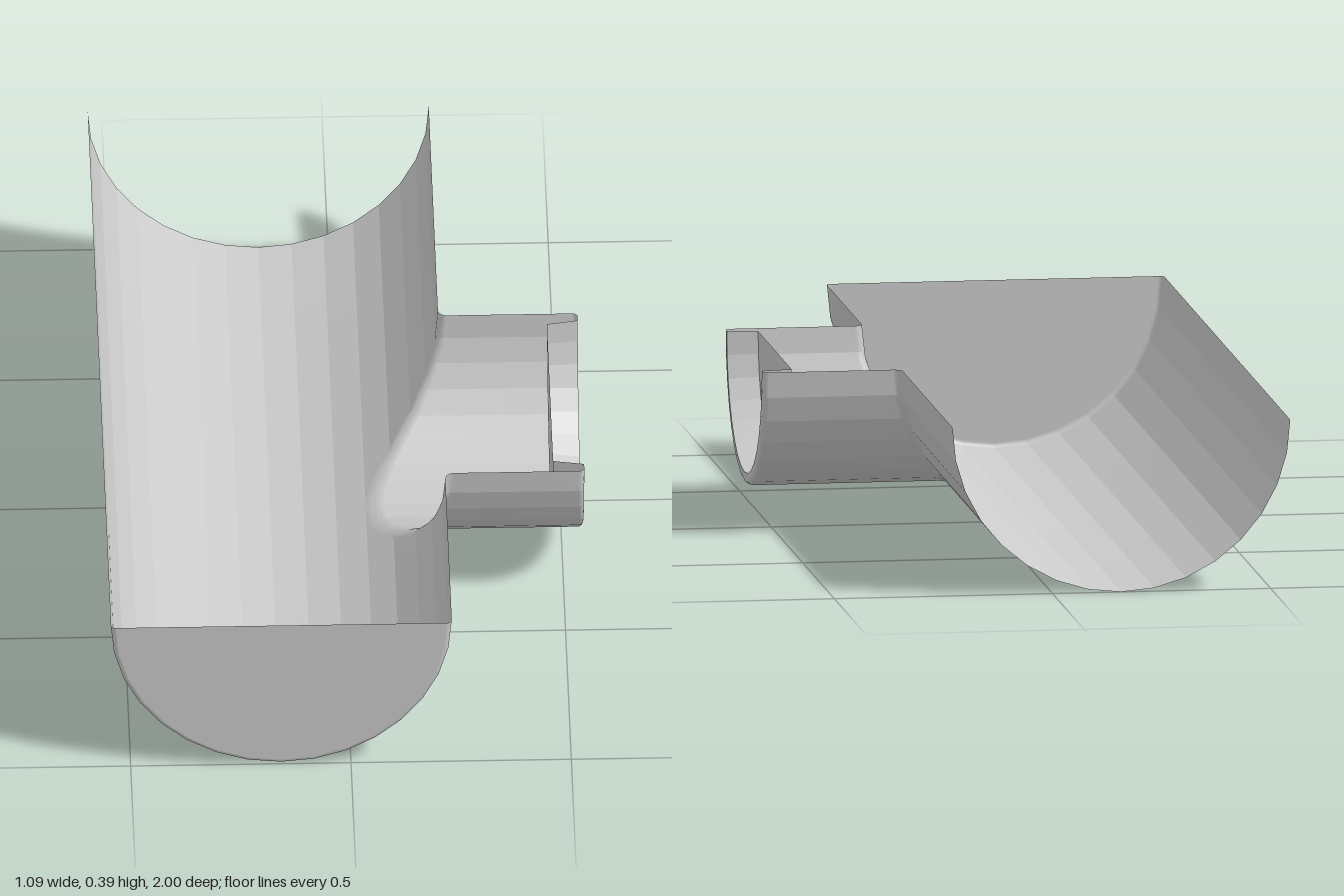
import * as THREE from 'three';
import { mergeGeometries, toCreasedNormals } from 'three/addons/utils/BufferGeometryUtils.js';

const R = 0.387, AXIS_X = -0.158, TOP = 0.387;   // trough
const r = 0.305, AXIS_Z = 0.115, END_X = 0.545;  // side branch
const FILLET = 0.02, HOLE = r + FILLET, BEVEL = 0.012;
const STEP = Math.PI / 16;

// Half width, at a given depth, of a half circle drawn with 16 straight facets.
function halfWidth(depth, radius) {
  const k = Math.min(7, Math.floor(Math.asin(Math.min(1, depth / radius)) / STEP));
  const d0 = radius * Math.sin(k * STEP), d1 = radius * Math.sin((k + 1) * STEP);
  const w0 = radius * Math.cos(k * STEP), w1 = radius * Math.cos((k + 1) * STEP);
  return Math.max(0, THREE.MathUtils.lerp(w0, w1, (depth - d0) / (d1 - d0)));
}

// Skin a list of equally long rows of [x, y, z] points.
function loft(rows) {
  const pos = [];
  const tri = (...p) => {
    const [a, b, c] = p.map((q) => new THREE.Vector3(...q));
    if (new THREE.Triangle(a, b, c).getArea() > 1e-10) pos.push(...p.flat());
  };
  for (let i = 0; i < rows.length - 1; i++) {
    for (let j = 0; j < rows[i].length - 1; j++) {
      const a = rows[i][j], b = rows[i + 1][j], c = rows[i + 1][j + 1], d = rows[i][j + 1];
      tri(a, d, c);
      tri(a, c, b);
    }
  }
  const g = new THREE.BufferGeometry();
  g.setAttribute('position', new THREE.Float32BufferAttribute(pos, 3));
  return g;
}

export function createModel() {
  const group = new THREE.Group();
  const material = new THREE.MeshStandardMaterial({ color: 0xcccccc, side: THREE.DoubleSide });
  const add = (name, ...geometries) => {
    const mesh = new THREE.Mesh(toCreasedNormals(mergeGeometries(geometries), 0.18), material);
    mesh.name = name;
    group.add(mesh);
  };

  // Depths of the facet edges, and of the hole's corners on the branch side
  const edges = (radius) => Array.from({ length: 9 }, (_, k) => radius * Math.sin(k * STEP));
  const plain = edges(R);
  const levels = [...plain, ...edges(HOLE)].sort((a, b) => a - b)
    .filter((d, i, all) => i === 0 || d - all[i - 1] > 1e-4);
  const holeLevels = levels.filter((d) => d <= HOLE + 1e-6);
  const belowHole = levels.filter((d) => d >= HOLE - 1e-6);

  // Trough wall: two pieces beside the hole, then the rest round to the far rim
  const section = (d, side) => [side * halfWidth(d, R), d];
  const at = ([w, d], z, s = 1) => [AXIS_X + w * s, TOP - d * s, z];
  const front = 1 - BEVEL;
  const left = [...plain].reverse().slice(1).map((d) => section(d, -1));
  const rest = [...belowHole.map((d) => section(d, 1)), ...left];
  const profile = [...levels.map((d) => section(d, 1)), ...left];
  const bevelArc = Array.from({ length: 11 }, (_, i) => i * Math.PI / 20);
  add('trough',
    loft(holeLevels.map((d) => [-1, AXIS_Z - halfWidth(d, HOLE)].map((z) => at(section(d, 1), z)))),
    loft(holeLevels.map((d) => [AXIS_Z + halfWidth(d, HOLE), front].map((z) => at(section(d, 1), z)))),
    loft(rest.map((p) => [at(p, -1), at(p, front)])),
    loft(profile.map((p) => bevelArc.map((a) =>
      at(p, front + BEVEL * Math.sin(a), 1 - BEVEL * (1 - Math.cos(a)) / R)))));

  // Flat plate closing the front end
  add('endPlate', loft(profile.map((p) => [at(p, 1, 1 - BEVEL / R), at(p, 1, 0)])));

  // Branch: fillet out of the trough, straight pipe, rounded end
  const arch = [
    ...holeLevels.map((d) => [halfWidth(d, HOLE), d]),
    ...[...holeLevels].reverse().slice(1).map((d) => [-halfWidth(d, HOLE), d]),
  ];
  const ring = (radius, xOf) => arch.map(([w, d]) => {
    const s = radius / HOLE;
    return [xOf(d * s), TOP - d * s, AXIS_Z + w * s];
  });
  const flatRing = (radius, x) => ring(radius, () => x);
  const filletRows = bevelArc.map((a) => ring(r + FILLET * (1 - Math.sin(a)),
    (d) => AXIS_X + halfWidth(d, R) + FILLET * (1 - Math.cos(a))));
  const endRows = bevelArc.map((a) =>
    flatRing(r - BEVEL * (1 - Math.cos(a)), END_X - BEVEL + BEVEL * Math.sin(a)));
  add('sideBranch', loft([...filletRows, ...endRows]));

  // Rim folding inward to a recessed plate that closes the branch
  add('branchRim', loft([flatRing(r - BEVEL, END_X), flatRing(0.278, END_X), flatRing(0.265, 0.475)]));
  add('branchEndPlate', loft([flatRing(0.265, 0.475), flatRing(0, 0.475)]));

  return group;
}
